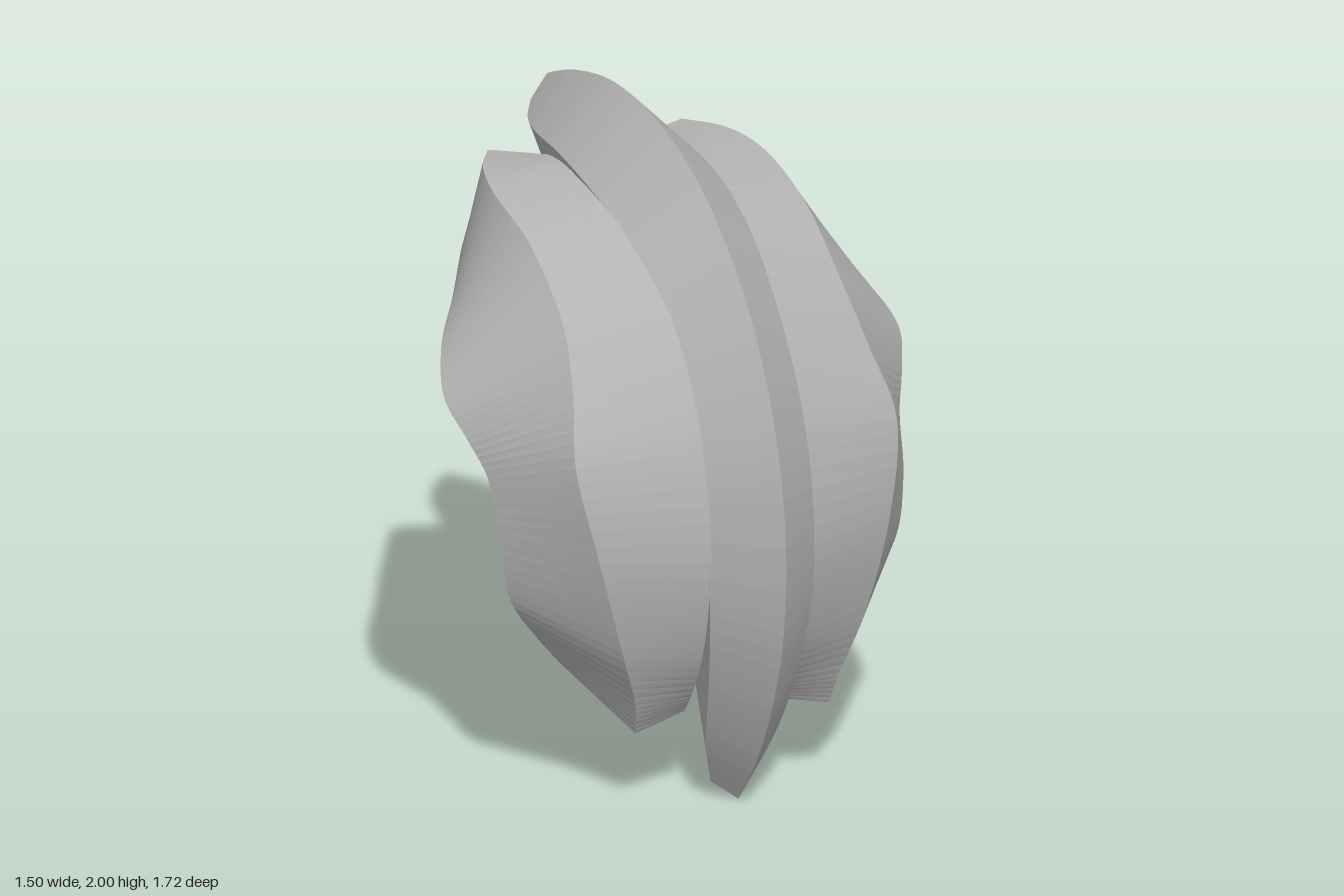
import * as THREE from 'three';

const CENTRE_Y = 0.85, CENTRE_Z = -0.29, SEGMENTS = 60;

// Point at a given angle (degrees) and radius on the arc all parts follow
function arcPoint(x, radius, degrees) {
  const a = THREE.MathUtils.degToRad(degrees);
  return new THREE.Vector3(x, CENTRE_Y + radius * Math.sin(a), CENTRE_Z + radius * Math.cos(a));
}

// Smooth lengthwise edge through points given as angle, x and radius lists
function rail(angles, xs, radii) {
  return new THREE.CatmullRomCurve3(angles.map((a, i) => arcPoint(xs[i], radii[i], a)));
}

// Closed loft over the section corners, one facet per quad, with both ends capped
function loft(section, mirror = 1) {
  const positions = [], index = [];
  const facet = (corners, flip) => {
    const base = positions.length / 3, last = corners.length - 1;
    for (const p of corners) positions.push(p.x * mirror, p.y, p.z);
    for (let k = 0; k < last - 1; k++) {
      const pair = [base + k, base + k + 1];
      if (flip !== mirror < 0) pair.reverse();
      index.push(base + last, ...pair);
    }
  };
  const rows = [];
  for (let i = 0; i <= SEGMENTS; i++) rows.push(section(i / SEGMENTS));
  for (let i = 0; i < SEGMENTS; i++) {
    rows[i].forEach((corner, j) => {
      const k = (j + 1) % rows[i].length;
      facet([corner, rows[i][k], rows[i + 1][k], rows[i + 1][j]], false);
    });
  }
  facet(rows[0], true);
  facet(rows[SEGMENTS], false);
  const geometry = new THREE.BufferGeometry();
  geometry.setAttribute('position', new THREE.Float32BufferAttribute(positions, 3));
  geometry.setIndex(index);
  geometry.computeVertexNormals();
  return geometry;
}

// Central ridge: roofed section with a narrow flat keel, shrinking to the tips
const RIDGE_ANGLES = [-46.5, -39, -33, -23, -10, 5, 20, 35, 50, 65, 80, 95, 108, 115.5, 119.5];
const RIDGE_PEAKS = [1.168, 1.16, 1.155, 1.15, 1.15, 1.15, 1.15, 1.15, 1.15, 1.15, 1.15, 1.15, 1.15, 1.155, 1.16];
const RIDGE_WIDTHS = [0.07, 0.112, 0.13, 0.15, 0.168, 0.181, 0.184, 0.186, 0.19, 0.197, 0.204, 0.191, 0.162, 0.122, 0.07];
const RIDGE_DEPTHS = [0.245, 0.36, 0.42, 0.47, 0.51, 0.55, 0.6, 0.635, 0.65, 0.65, 0.62, 0.56, 0.49, 0.38, 0.235];
const peakRail = rail(RIDGE_ANGLES, RIDGE_ANGLES.map(() => 0), RIDGE_PEAKS);
const shoulderRail = rail(RIDGE_ANGLES, RIDGE_WIDTHS, RIDGE_WIDTHS.map((w, i) => RIDGE_PEAKS[i] - w));
const keelRail = rail(RIDGE_ANGLES, RIDGE_WIDTHS.map((w) => w * 0.55), RIDGE_DEPTHS.map((d, i) => RIDGE_PEAKS[i] - d));

function ridgeSection(t) {
  const shoulder = shoulderRail.getPoint(t), keel = keelRail.getPoint(t);
  const opposite = (p) => p.clone().setX(-p.x);
  return [peakRail.getPoint(t), shoulder, keel, opposite(keel), opposite(shoulder)];
}

// Side plates: chevron section, hollow underneath
const PLATE_ANGLES = [-38.5, -32, -20, 0, 20, 35, 50, 70, 90, 100, 108.3];
const innerRail = rail(PLATE_ANGLES,
  [0.14, 0.153, 0.165, 0.17, 0.17, 0.17, 0.17, 0.17, 0.17, 0.165, 0.16],
  [0.92, 0.94, 0.965, 0.98, 0.98, 0.98, 0.975, 0.96, 0.935, 0.925, 0.92]);
const creaseRail = rail(PLATE_ANGLES,
  [0.32, 0.337, 0.4, 0.48, 0.53, 0.49, 0.46, 0.453, 0.445, 0.4, 0.32],
  [0.97, 0.94, 0.895, 0.85, 0.84, 0.835, 0.85, 0.875, 0.9, 0.93, 0.955]);
const outerRail = rail(PLATE_ANGLES,
  [0.47, 0.545, 0.635, 0.667, 0.68, 0.72, 0.75, 0.695, 0.575, 0.51, 0.45],
  [0.685, 0.63, 0.585, 0.54, 0.515, 0.505, 0.505, 0.53, 0.575, 0.62, 0.67]);

function plateSection(t) {
  const inner = innerRail.getPoint(t), crease = creaseRail.getPoint(t), outer = outerRail.getPoint(t);
  const under = inner.clone().lerp(outer, 0.4).lerp(crease, 0.42);
  return [inner, crease, outer, under];
}

export function createModel() {
  const model = new THREE.Group();
  model.name = 'crestedArmour';
  const grey = new THREE.MeshStandardMaterial({ color: 0xb4b4b4 });
  grey.name = 'grey';

  const add = (name, geometry) => {
    const mesh = new THREE.Mesh(geometry, grey);
    mesh.name = name;
    model.add(mesh);
  };
  add('centreRidge', loft(ridgeSection));
  add('leftPlate', loft(plateSection, 1));
  add('rightPlate', loft(plateSection, -1));
  return model;
}
